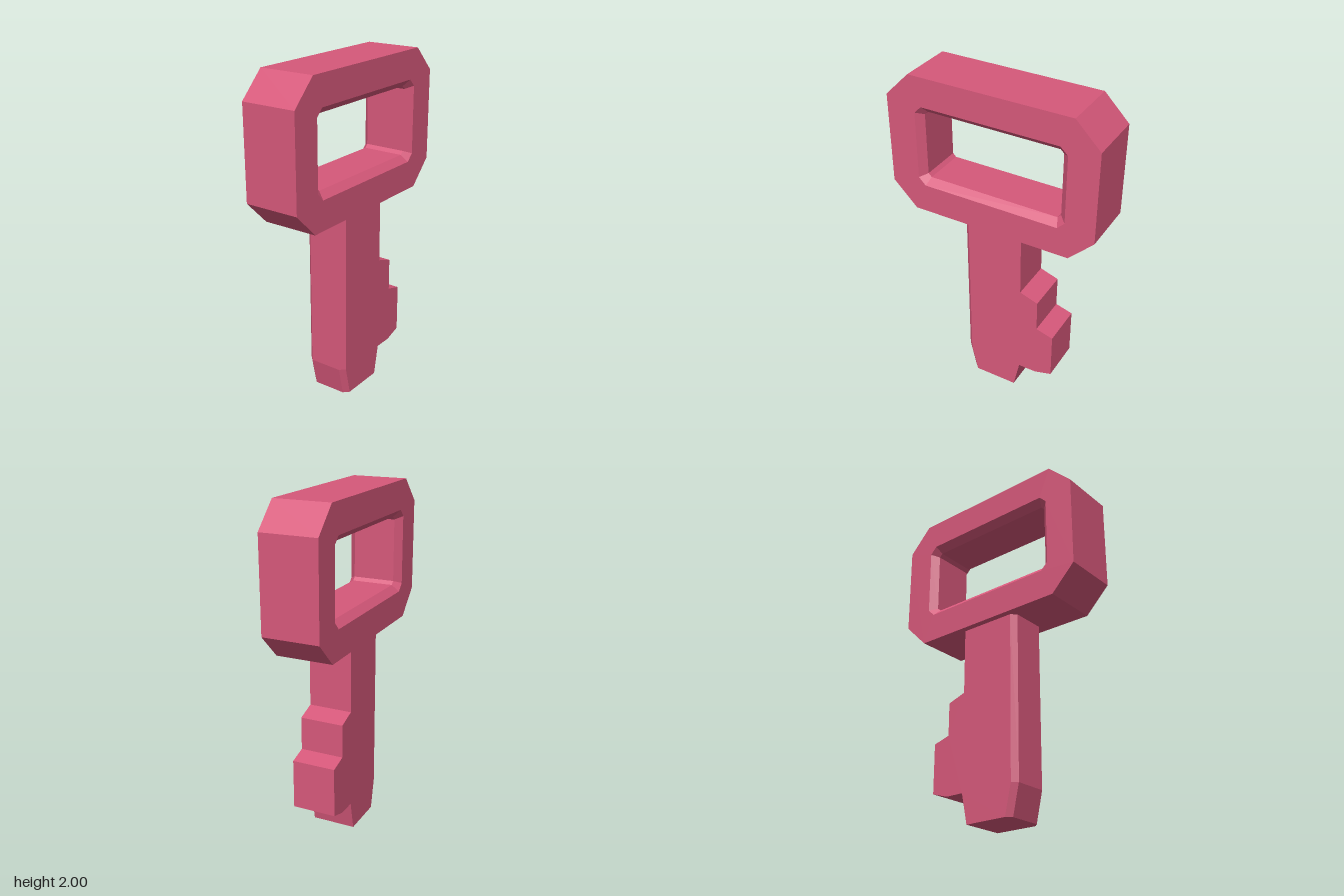
import * as THREE from 'three';

const material = new THREE.MeshStandardMaterial({ color: 0xd6587a, flatShading: true });

// Counter-clockwise rectangle with cut corners, centred on x = 0, y = cy
function cutRect(w, h, cut, cy) {
  return [
    [w - cut, -h], [w, -h + cut], [w, h - cut], [w - cut, h],
    [-w + cut, h], [-w, h - cut], [-w, -h + cut], [-w + cut, -h],
  ].map(([x, y]) => new THREE.Vector2(x, y + cy));
}

// Solid lofted through outlines at increasing z, with an optional lofted hole
function loft(outer, hole = []) {
  const pos = [];
  const put = (p, z) => pos.push(p.x, p.y, z);
  const walls = (layers, inward) => {
    for (let k = 0; k < layers.length - 1; k++) {
      const a = layers[k], b = layers[k + 1], n = a.pts.length;
      for (let i = 0; i < n; i++) {
        const j = (i + 1) % n;
        const [s, e] = inward ? [j, i] : [i, j];
        put(a.pts[s], a.z); put(a.pts[e], a.z); put(b.pts[e], b.z);
        put(a.pts[s], a.z); put(b.pts[e], b.z); put(b.pts[s], b.z);
      }
    }
  };
  const cap = (o, h, front) => {
    const holes = h ? [h.pts] : [];
    const all = o.pts.concat(...holes);
    for (const [a, b, c] of THREE.ShapeUtils.triangulateShape(o.pts.slice(), holes.map((p) => p.slice()))) {
      const p = all[a], q = all[b], r = all[c];
      const ccw = (q.x - p.x) * (r.y - p.y) - (q.y - p.y) * (r.x - p.x) > 0;
      for (const v of ccw === front ? [p, q, r] : [p, r, q]) put(v, o.z);
    }
  };
  walls(outer, false);
  walls(hole, true);
  cap(outer[0], hole[0], false);
  cap(outer.at(-1), hole.at(-1), true);
  const geo = new THREE.BufferGeometry();
  geo.setAttribute('position', new THREE.Float32BufferAttribute(pos, 3));
  geo.computeVertexNormals();
  return geo;
}

// Blade outline; inset pulls in the straight back edge for its bevel
function bladeOutline(inset) {
  return [
    [-0.15 + inset, 0], [0.145, 0], [0.182, 0.178], [0.295, 0.178],
    [0.4, 0.21], [0.4, 0.503], [0.295, 0.533], [0.295, 0.73],
    [0.182, 0.768], [0.182, 1.163], [-0.19 + inset, 1.163], [-0.19 + inset, 0.178],
  ].map(([x, y]) => new THREE.Vector2(x, y));
}

export function createModel() {
  const group = new THREE.Group();
  group.name = 'key';
  const add = (name, geo) => {
    const mesh = new THREE.Mesh(geo, material);
    mesh.name = name;
    group.add(mesh);
  };

  // Handle: octagonal ring whose opening is bevelled on both faces
  const D = 0.168, bevel = 0.04, cy = 1.581;
  const ring = cutRect(0.634, 0.419, 0.147, cy);
  const wide = cutRect(0.458, 0.246, 0.043, cy);
  const narrow = cutRect(0.418, 0.206, 0.02, cy);
  add('handle', loft(
    [{ z: -D, pts: ring }, { z: D, pts: ring }],
    [
      { z: -D, pts: wide }, { z: -D + bevel, pts: narrow },
      { z: D - bevel, pts: narrow }, { z: D, pts: wide },
    ],
  ));

  // Blade with stepped teeth on +x and a bevelled edge on -x
  const B = 0.13, edge = 0.03;
  add('blade', loft([
    { z: -B, pts: bladeOutline(edge) }, { z: -B + edge, pts: bladeOutline(0) },
    { z: B - edge, pts: bladeOutline(0) }, { z: B, pts: bladeOutline(edge) },
  ]));

  return group;
}
